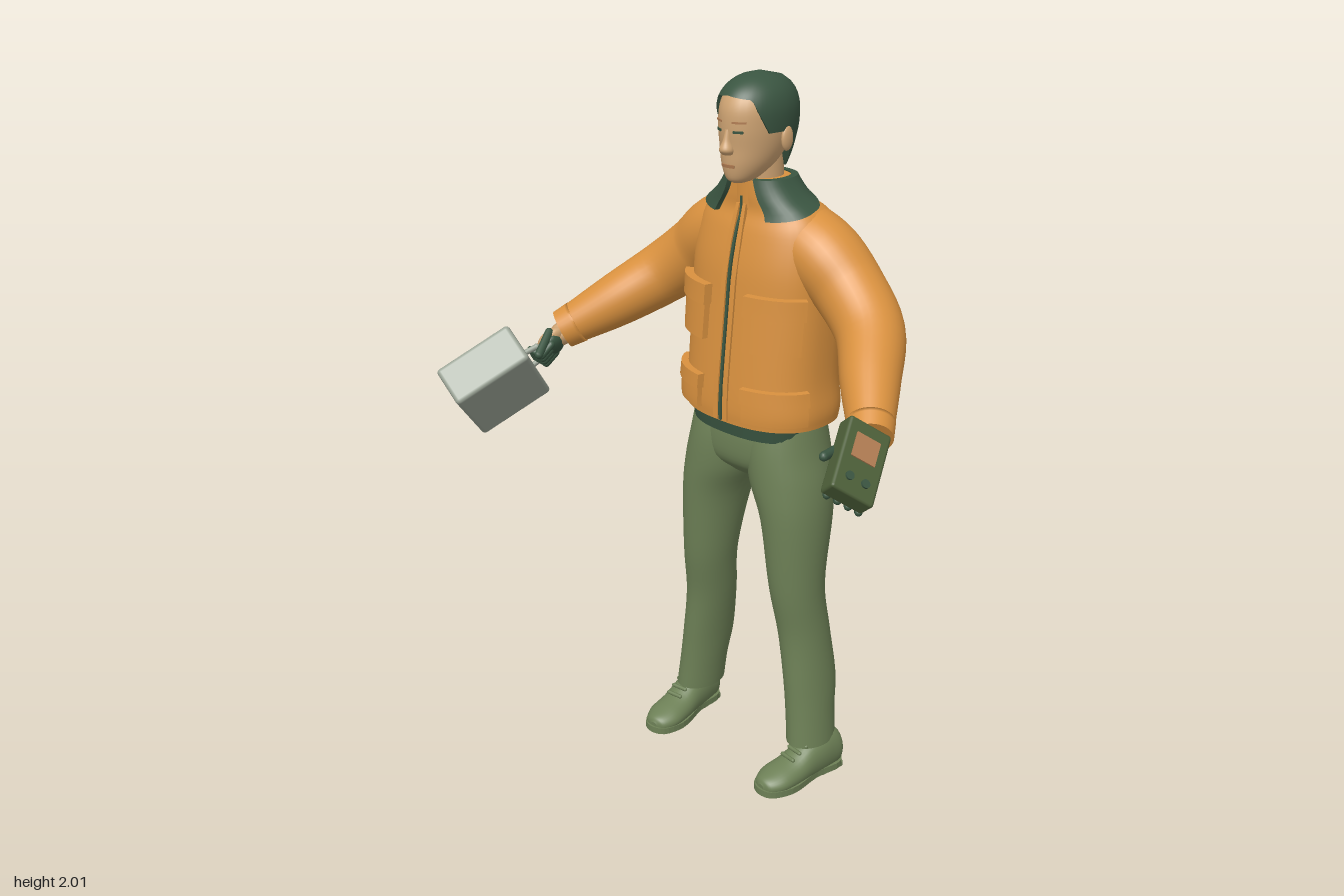
import * as THREE from 'three';
import { RoundedBoxGeometry } from 'three/addons/geometries/RoundedBoxGeometry.js';

const mat = (name, color) => Object.assign(new THREE.MeshStandardMaterial({ color }), { name });
const V = (x, y, z) => new THREE.Vector3(x, y, z);
const lerp = THREE.MathUtils.lerp;

// Smooth sampler through rows of [x, y, z, halfWidth, halfDepth]
function sampler(rows) {
  const c = new THREE.CatmullRomCurve3(rows.map(r => V(r[0], r[1], r[2])), false, 'catmullrom', 0.5);
  const s = new THREE.CatmullRomCurve3(rows.map(r => V(r[3], r[4], 0)), false, 'catmullrom', 0.5);
  return { c, s };
}

// Point offset on a superellipse ring; angle 0 is the front
function ring(a, rx, rz, p) {
  const f = v => Math.sign(v) * Math.abs(v) ** (2 / p);
  return [f(Math.sin(a)) * rx, f(Math.cos(a)) * rz];
}

// Closed skin over the rows; rings lie flat, or square to the path when along is true
function loft(rows, { p = 2, along = false, n = 32, per = 5 } = {}) {
  const { c, s } = sampler(rows), m = (rows.length - 1) * per, pos = [], idx = [];
  for (let i = 0; i <= m; i++) {
    const o = c.getPoint(i / m), r = s.getPoint(i / m);
    const T = along ? c.getTangent(i / m) : V(0, 1, 0);
    const v = V(0, 0, 1).addScaledVector(T, -T.z).normalize(), u = T.clone().cross(v);
    for (let j = 0; j < n; j++) {
      const [x, z] = ring(j / n * Math.PI * 2, Math.max(r.x, 0.001), Math.max(r.y, 0.001), p);
      pos.push(...o.clone().addScaledVector(u, x).addScaledVector(v, z).toArray());
      const k = (j + 1) % n, b = i * n;
      if (i < m) idx.push(b + j, b + k, b + n + k, b + j, b + n + k, b + n + j);
    }
  }
  // End caps on their own vertices, so the rims stay crisp
  for (const i of [0, m]) {
    const b = pos.length / 3;
    pos.push(...pos.slice(i * n * 3, (i + 1) * n * 3), ...c.getPoint(i / m).toArray());
    for (let j = 0; j < n; j++) {
      const k = (j + 1) % n;
      idx.push(b + n, ...(i ? [b + j, b + k] : [b + k, b + j]));
    }
  }
  const g = new THREE.BufferGeometry();
  g.setAttribute('position', new THREE.Float32BufferAttribute(pos, 3));
  g.setIndex(idx);
  g.computeVertexNormals();
  return g;
}

// Bends a slab onto a lofted surface between two angles and two heights
function wrap(rows, a0, a1, low, high, d0, d1, p = 2, nx = 12, ny = 6) {
  const { c, s } = sampler(rows), g = new THREE.BoxGeometry(1, 1, 1, nx, ny, 1), q = g.attributes.position;
  for (let i = 0; i < q.count; i++) {
    const a = lerp(a0, a1, q.getX(i) + 0.5), d = lerp(d0, d1, q.getZ(i) + 0.5);
    const y = lerp(typeof low === 'function' ? low(a) : low, high, q.getY(i) + 0.5);
    let t0 = 0, t1 = 1;
    for (let k = 0; k < 24; k++) {
      const t = (t0 + t1) / 2;
      if (c.getPoint(t).y < y) t0 = t; else t1 = t;
    }
    const o = c.getPoint(t0), r = s.getPoint(t0), rx = Math.max(r.x, 0.003), rz = Math.max(r.y, 0.003);
    const [x, z] = ring(a, rx, rz, p), nrm = V(x / rx / rx, 0, z / rz / rz).normalize();
    const e = Math.max(d, -0.9 * Math.min(rx, rz));
    q.setXYZ(i, o.x + x + nrm.x * e, y, o.z + z + nrm.z * e);
  }
  g.computeVertexNormals();
  return g;
}

export function createModel() {
  const root = new THREE.Group(), body = new THREE.Group();
  root.name = 'figure';
  body.name = 'body';
  body.position.x = 0.065;
  root.add(body);
  const orange = mat('jacket orange', 0xd9913f), green = mat('trouser green', 0x6d8056);
  const dark = mat('dark green', 0x3a5541), skin = mat('skin', 0xcfa473), grey = mat('case grey', 0x9ca597);
  const olive = mat('device olive', 0x4c5e38), tan = mat('tan', 0xb07c52);
  const add = (parent, name, geo, m, pos = [0, 0, 0]) => {
    const mesh = new THREE.Mesh(geo, m);
    mesh.name = name;
    mesh.position.set(...pos);
    parent.add(mesh);
    return mesh;
  };
  // Rounded rod between two points
  const rod = (parent, name, a, b, r, m) => {
    const A = V(...a), d = V(...b).sub(A), mesh = add(parent, name, new THREE.CapsuleGeometry(r, d.length(), 4, 10), m);
    mesh.position.copy(A).addScaledVector(d, 0.5);
    mesh.quaternion.setFromUnitVectors(V(0, 1, 0), d.normalize());
  };
  const ball = (parent, name, m, pos, size) =>
    add(parent, name, new THREE.SphereGeometry(1, 20, 14), m, pos).scale.set(...size);

  // Jacket
  const torso = [[0, 1.085, -0.225, 0.222, 0.163], [0, 1.13, -0.226, 0.226, 0.166], [0, 1.22, -0.226, 0.218, 0.16],
    [0, 1.4, -0.235, 0.218, 0.152], [0, 1.51, -0.24, 0.218, 0.146], [0, 1.6, -0.245, 0.205, 0.13],
    [0, 1.65, -0.238, 0.175, 0.105], [0, 1.69, -0.215, 0.12, 0.082], [0, 1.735, -0.205, 0.08, 0.072]];
  const P = 2.4;
  add(body, 'jacket', loft(torso, { p: P, n: 48 }), orange);
  add(body, 'zipper', wrap(torso, -0.008, 0.008, 1.09, 1.69, -0.005, 0.006, P, 1, 24), dark);
  add(body, 'collar', wrap(torso, 0.4, Math.PI * 2 - 0.4, a => 1.665 - 0.03 * Math.cos(a), 1.738, -0.005, 0.014, P, 40), dark);
  add(body, 'neckBand', loft([[0, 1.66, -0.203, 0.072, 0.072], [0, 1.735, -0.2, 0.068, 0.07]]), orange);
  for (const s of [-1, 1]) {
    const pocket = (name, i, o, y0, y1, d) =>
      add(body, name, wrap(torso, s > 0 ? i : -o, s > 0 ? o : -i, y0, y1, -0.01, d, P), orange);
    pocket('frontPlacket', 0.02, 0.07, 1.09, 1.67, 0.006);
    pocket('chestPocket', 0.25, 1.1, 1.3, 1.4, 0.017);
    pocket('chestFlap', 0.23, 1.13, 1.395, 1.45, 0.024);
    pocket('lowerPocket', 0.28, 1.25, 1.105, 1.165, 0.014);
    pocket('lowerFlap', 0.26, 1.27, 1.16, 1.2, 0.02);
    // Sleeve and cuff
    add(body, 'sleeve', loft([[0.09, 1.585, -0.25, 0.095, 0.105], [0.185, 1.54, -0.25, 0.1, 0.105],
      [0.27, 1.47, -0.25, 0.095, 0.095], [0.37, 1.39, -0.215, 0.088, 0.09], [0.46, 1.31, -0.11, 0.076, 0.076],
      [0.55, 1.235, -0.005, 0.056, 0.056]].map(r => [r[0] * s, ...r.slice(1)]), { along: true }), orange);
    add(body, 'cuff', loft([[0.535, 1.247, -0.022, 0.061, 0.061], [0.562, 1.225, 0.01, 0.056, 0.056]]
      .map(r => [r[0] * s, ...r.slice(1)]), { along: true }), orange);
    // Trouser leg
    add(body, 'trouserLeg', loft([[0.225, 0.11, -0.218, 0.061, 0.083], [0.215, 0.2, -0.222, 0.061, 0.083],
      [0.203, 0.3, -0.229, 0.063, 0.089], [0.183, 0.45, -0.22, 0.067, 0.083], [0.168, 0.6, -0.2, 0.074, 0.086],
      [0.151, 0.8, -0.21, 0.092, 0.111], [0.122, 0.91, -0.217, 0.112, 0.124], [0.106, 1, -0.22, 0.108, 0.125],
      [0.1, 1.08, -0.22, 0.1, 0.112]].map(r => [r[0] * s, ...r.slice(1)])), green);
    // Shoe: lofted from heel to toe, then laid down
    const shoe = new THREE.Group();
    shoe.name = 'shoe';
    shoe.position.x = 0.222 * s;
    shoe.rotation.y = -0.12 * s;
    shoe.position.z = -0.02;
    body.add(shoe);
    const upper = loft([[0, -0.282, -0.06, 0.02, 0.03], [0, -0.268, -0.062, 0.042, 0.06], [0, -0.22, -0.065, 0.048, 0.075],
      [0, -0.16, -0.055, 0.05, 0.066], [0, -0.1, -0.04, 0.054, 0.046], [0, -0.04, -0.035, 0.055, 0.034],
      [0, 0, -0.03, 0.036, 0.025], [0, 0.012, -0.028, 0.012, 0.012]]);
    upper.rotateX(Math.PI / 2);
    add(shoe, 'shoeUpper', upper, green);
    const outline = new THREE.Shape(new THREE.CatmullRomCurve3([V(0, 0.29, 0), V(0.045, 0.26, 0), V(0.044, 0.17, 0),
      V(0.06, 0.06, 0), V(0.036, -0.005, 0), V(0, -0.018, 0), V(-0.036, -0.005, 0), V(-0.06, 0.06, 0),
      V(-0.044, 0.17, 0), V(-0.045, 0.26, 0)], true).getPoints(40).map(q => new THREE.Vector2(q.x, q.y)));
    const sole = new THREE.ExtrudeGeometry(outline, { depth: 0.02, bevelEnabled: false });
    sole.rotateX(-Math.PI / 2);
    add(shoe, 'sole', sole, green, [0, 0.008, 0]);
    add(shoe, 'heel', new RoundedBoxGeometry(0.084, 0.022, 0.085, 2, 0.006), green, [0, 0.011, -0.232]);
    for (let i = 0; i < 3; i++)
      rod(shoe, 'lace', [-0.022, 0.115 - i * 0.013, -0.14 + i * 0.025], [0.022, 0.115 - i * 0.013, -0.14 + i * 0.025], 0.006, green);
  }
  // Hips and shirt hem
  add(body, 'hips', loft([[0, 0.905, -0.22, 0.1, 0.07], [0, 0.95, -0.222, 0.185, 0.118], [0, 1.02, -0.222, 0.203, 0.127],
    [0, 1.1, -0.22, 0.195, 0.115]], { p: 2.3 }), green);
  add(body, 'shirtHem', loft([[0, 1.045, -0.2, 0.188, 0.122], [0, 1.1, -0.2, 0.196, 0.13]], { p: 2.4 }), dark);

  // Head
  const head = [[0, 1.728, -0.125, 0.016, 0.025], [0, 1.74, -0.133, 0.038, 0.048], [0, 1.775, -0.157, 0.062, 0.08],
    [0, 1.82, -0.175, 0.077, 0.1], [0, 1.87, -0.183, 0.084, 0.112], [0, 1.92, -0.186, 0.083, 0.111],
    [0, 1.96, -0.188, 0.067, 0.09], [0, 1.985, -0.19, 0.035, 0.05]];
  add(body, 'neck', loft([[0, 1.68, -0.21, 0.056, 0.057], [0, 1.8, -0.205, 0.052, 0.062]]), skin);
  add(body, 'face', loft(head), skin);
  const scalp = [[0, 1.745, -0.205, 0.052, 0.065], [0, 1.79, -0.192, 0.073, 0.097], [0, 1.83, -0.187, 0.085, 0.113],
    [0, 1.87, -0.186, 0.092, 0.122], [0, 1.92, -0.186, 0.092, 0.121], [0, 1.96, -0.188, 0.077, 0.102],
    [0, 1.988, -0.19, 0.046, 0.062], [0, 2, -0.19, 0.003, 0.004]];
  const hairline = a => {
    const b = Math.abs(a);
    if (b < 0.75) return 1.95 - 0.01 * b;
    return b < 1.2 ? lerp(1.942, 1.855, (b - 0.75) / 0.45) : b < 1.75 ? 1.86 : Math.max(1.76, 1.86 - (b - 1.75) * 0.25);
  };
  add(body, 'hair', wrap(scalp, -Math.PI, Math.PI, hairline, 2, -0.02, 0, 2, 64, 16), dark);
  // Nose, ears, eyes, brows and mouth
  add(body, 'nose', loft([[0, 1.805, -0.078, 0.015, 0.016], [0, 1.818, -0.073, 0.019, 0.02], [0, 1.84, -0.076, 0.011, 0.014],
    [0, 1.868, -0.081, 0.008, 0.011]]), skin);
  add(body, 'mouth', wrap(head, -0.33, 0.33, 1.771, 1.779, -0.003, 0.004, 2, 8, 1), tan);
  for (const s of [-1, 1]) {
    ball(body, 'ear', skin, [0.089 * s, 1.84, -0.2], [0.01, 0.032, 0.02]);
    const strip = (name, i, o, y0, y1, m) =>
      add(body, name, wrap(head, s > 0 ? i : -o, s > 0 ? o : -i, y0, y1, -0.003, 0.002, 2, 5, 1), m);
    strip('eye', 0.24, 0.54, 1.86, 1.866, dark);
    strip('brow', 0.2, 0.62, 1.884, 1.889, tan);
  }

  // Oriented holders for the carried items
  const holder = (name, pos, x, y) => {
    const g = new THREE.Group(), X = V(...x).normalize(), Z = X.clone().cross(V(...y)).normalize();
    g.quaternion.setFromRotationMatrix(new THREE.Matrix4().makeBasis(X, Z.clone().cross(X), Z));
    g.position.set(...pos);
    g.name = name;
    root.add(g);
    return g;
  };
  // Carrying case with right hand
  const box = holder('carryingCase', [-0.578, 1.095, 0.2], [0.16, 0.198, 0.204], [0.09, 0.11, -0.18]);
  add(box, 'caseShell', new RoundedBoxGeometry(0.332, 0.236, 0.12, 3, 0.012), grey);
  for (const s of [-1, 1]) {
    add(box, 'latch', new RoundedBoxGeometry(0.026, 0.055, 0.018, 2, 0.005), grey, [0.106 * s, 0.045, 0.064]);
    rod(box, 'handlePost', [0.06 * s, 0.11, 0], [0.05 * s, 0.152, 0], 0.008, grey);
  }
  rod(box, 'handle', [-0.05, 0.152, 0], [0.05, 0.152, 0], 0.009, grey);
  rod(box, 'rightWrist', [0, 0.275, 0.014], [0, 0.23, 0.01], 0.033, skin);
  ball(box, 'rightPalm', skin, [0, 0.205, 0.012], [0.045, 0.05, 0.025]);
  ball(box, 'rightGlove', dark, [0, 0.195, -0.002], [0.047, 0.034, 0.025]);
  for (let i = 0; i < 4; i++) {
    const x = -0.036 + i * 0.024;
    rod(box, 'rightFinger', [x, 0.19, -0.014], [x, 0.15, -0.026], 0.011, dark);
    rod(box, 'rightFingertip', [x, 0.15, -0.026], [x, 0.134, 0.008], 0.01, dark);
  }
  rod(box, 'rightThumb', [0.04, 0.205, 0.02], [0.065, 0.145, -0.03], 0.012, dark);

  // Handheld device with left hand
  const dev = holder('handheldDevice', [0.67, 1.205, 0.115], [-0.553, 0.528, 0.644], [0.352, -0.553, 0.755]);
  add(dev, 'deviceBody', new RoundedBoxGeometry(0.118, 0.2, 0.055, 2, 0.008), olive);
  add(dev, 'screen', new THREE.BoxGeometry(0.066, 0.066, 0.006), tan, [0, -0.03, 0.028]);
  for (const s of [-1, 1]) {
    const b = add(dev, 'button', new THREE.CylinderGeometry(0.011, 0.011, 0.008, 16), dark, [0.022 * s, 0.055, 0.029]);
    b.rotation.x = Math.PI / 2;
  }
  rod(dev, 'leftWrist', [-0.03, -0.14, -0.037], [-0.022, -0.09, -0.04], 0.031, skin);
  ball(dev, 'leftPalm', skin, [-0.012, -0.05, -0.043], [0.046, 0.06, 0.022]);
  ball(dev, 'leftGlove', dark, [-0.01, -0.02, -0.046], [0.05, 0.036, 0.022]);
  for (let i = 0; i < 4; i++) {
    const x = -0.05 + i * 0.025;
    rod(dev, 'leftFinger', [x, -0.01, -0.045], [x * 1.15, 0.05, -0.058], 0.011, dark);
    rod(dev, 'leftFingertip', [x * 1.15, 0.05, -0.058], [x * 1.2, 0.085, -0.045], 0.01, dark);
  }
  rod(dev, 'leftThumb', [0.03, -0.05, -0.035], [0.078, 0.015, -0.015], 0.012, dark);
  return root;
}
